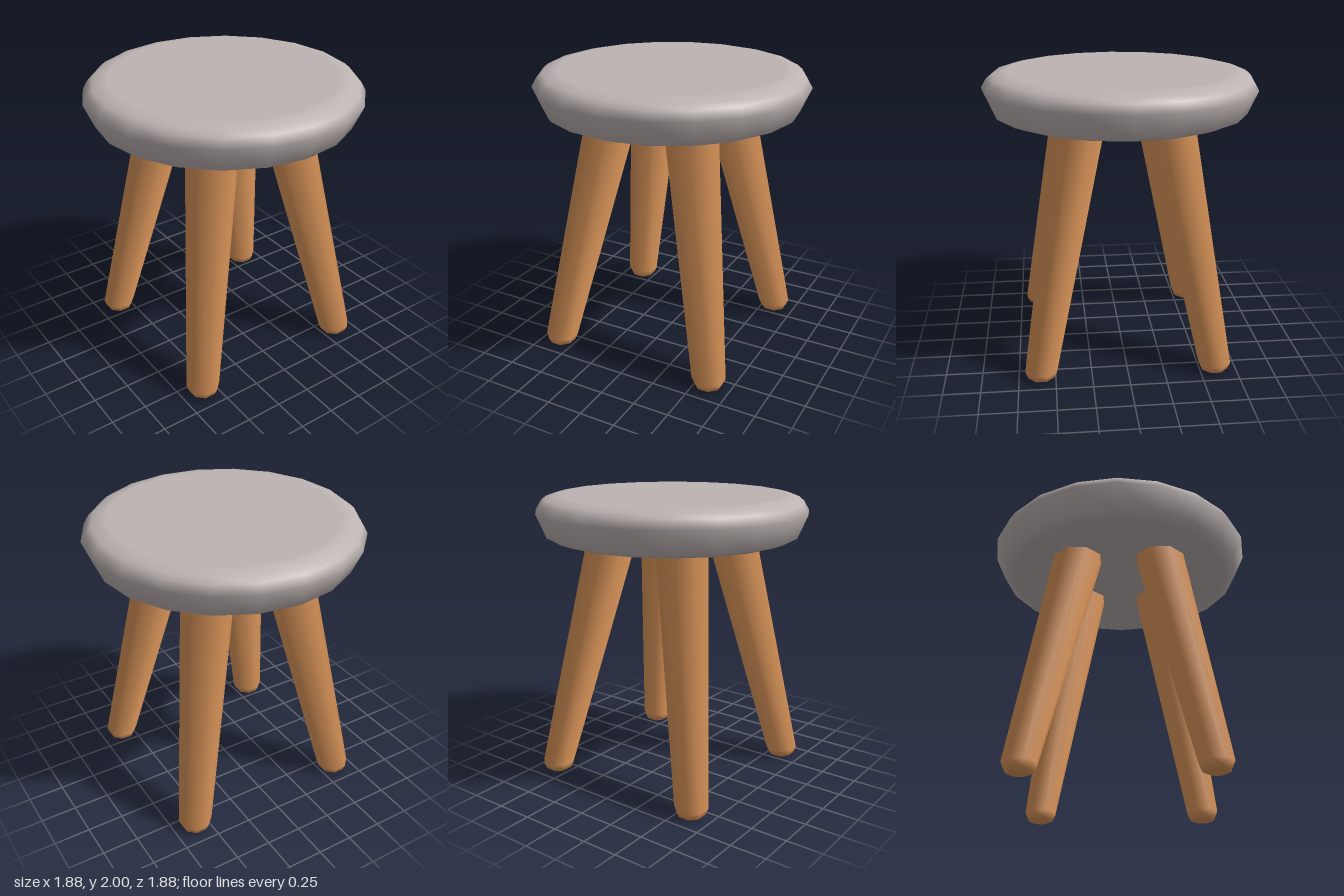
import * as THREE from 'three';

const stone = new THREE.MeshStandardMaterial({ color: 0xbdb4b2 });
stone.name = 'warm grey seat';
const wood = new THREE.MeshStandardMaterial({ color: 0xdc965a });
wood.name = 'orange wood';

// Revolve a profile of [radius, height] pairs, listed from bottom to top
function turned(profile, sides, start = 0) {
  const points = profile.map(([r, y]) => new THREE.Vector2(r, y));
  return new THREE.LatheGeometry(points, sides, start);
}

// Leg with level rings whose centres lean outward along the diagonal
function makeLeg(sx, sz) {
  const geometry = turned([
    [0, 0], [0.065, 0], [0.095, 0.018], [0.115, 0.065], [0.178, 1.7], [0.178, 1.74], [0, 1.74],
  ], 8, Math.PI / 8);
  const pos = geometry.attributes.position;
  for (let i = 0; i < pos.count; i++) {
    const offset = 0.597 - 0.184 * Math.max(0, pos.getY(i) - 0.065);
    pos.setX(i, pos.getX(i) + sx * offset);
    pos.setZ(i, pos.getZ(i) + sz * offset);
  }
  const leg = new THREE.Mesh(geometry, wood);
  leg.name = (sz > 0 ? 'front' : 'back') + (sx > 0 ? 'Left' : 'Right') + 'Leg';
  return leg;
}

export function createModel() {
  const model = new THREE.Group();
  model.name = 'stool';

  // Round seat with a soft upper edge and tapered underside
  const seat = new THREE.Mesh(turned([
    [0, 1.7], [0.78, 1.7], [0.8, 1.702], [0.87, 1.73], [0.94, 1.89],
    [0.905, 1.95], [0.87, 1.98], [0.8, 1.998], [0.77, 2], [0, 2],
  ], 20), stone);
  seat.name = 'seat';
  model.add(seat);

  // Four splayed legs
  for (const sx of [-1, 1]) for (const sz of [-1, 1]) model.add(makeLeg(sx, sz));

  return model;
}
